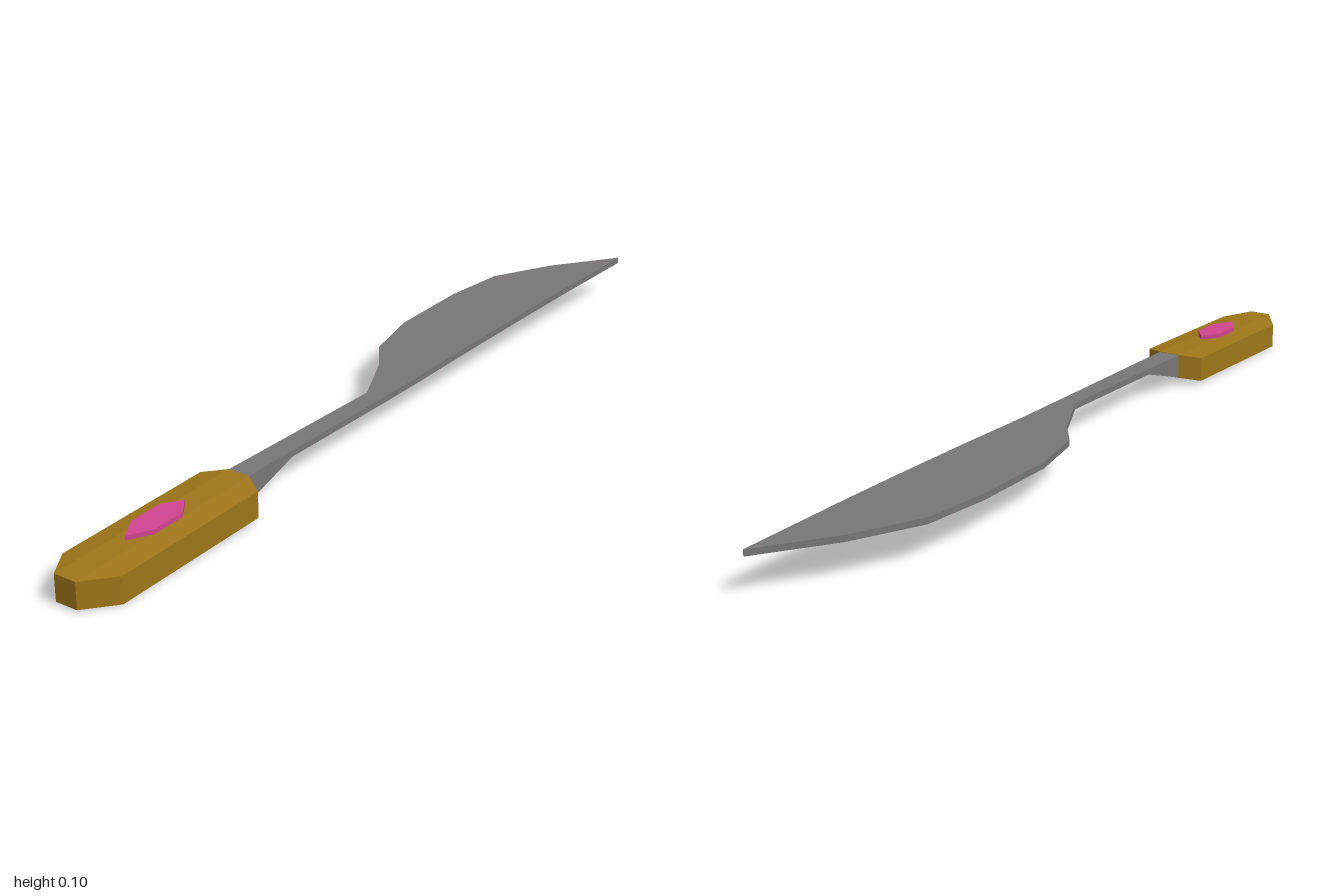
import * as THREE from 'three';

const gold = new THREE.MeshStandardMaterial({ name: 'goldHandle', color: 0x9e761a });
const steel = new THREE.MeshStandardMaterial({ name: 'greySteel', color: 0x787676 });
const pink = new THREE.MeshStandardMaterial({ name: 'pinkGem', color: 0xcf4490 });
for (const m of [gold, steel, pink]) m.flatShading = true;

// Joins rings of [x, y] points, listed from back to front, into a closed faceted solid.
function loft(sections) {
  const rings = sections.map(({ z, ring }) => ring.map(([x, y]) => new THREE.Vector3(x, y, z)));
  const n = rings[0].length;
  const pos = [];
  const tri = (a, b, c) => {
    if (new THREE.Triangle(a, b, c).getArea() > 1e-8) pos.push(...a, ...b, ...c);
  };
  for (let i = 0; i < rings.length - 1; i++) {
    for (let j = 0; j < n; j++) {
      const k = (j + 1) % n;
      tri(rings[i][j], rings[i][k], rings[i + 1][k]);
      tri(rings[i][j], rings[i + 1][k], rings[i + 1][j]);
    }
  }
  const last = rings[rings.length - 1];
  for (let j = 1; j < n - 1; j++) {
    tri(rings[0][0], rings[0][j + 1], rings[0][j]);
    tri(last[0], last[j], last[j + 1]);
  }
  const geo = new THREE.BufferGeometry();
  geo.setAttribute('position', new THREE.Float32BufferAttribute(pos, 3));
  geo.computeVertexNormals();
  return geo;
}

// Ring with a lower and an upper row of points.
const slab = (top, thick) => [...top.map(([x, y]) => [x, y - thick]), ...top.slice().reverse()];

function addPart(group, name, geometry, material) {
  const mesh = new THREE.Mesh(geometry, material);
  mesh.name = name;
  group.add(mesh);
}

export function createModel() {
  const group = new THREE.Group();
  group.name = 'knife';

  // Handle: chamfered block, slightly crowned and rising towards the blade
  const handleTop = (z) => 0.066 + (1 - z) * 0.028;
  const handle = [[0.51, 0], [0.54, 1], [0.93, 1], [1, 0]].map(([z, wide]) => {
    const y = handleTop(z);
    const top = wide
      ? [[-0.021, y - 0.007], [0.026, y], [0.078, y], [0.125, y - 0.007]]
      : [[0.026, y], [0.026, y], [0.078, y], [0.078, y]];
    return { z, ring: slab(top, 0.058) };
  });
  addPart(group, 'handle', loft(handle), gold);

  // Gem: long hexagon set in the handle
  const gem = [[0.67, 0], [0.71, 0.029], [0.79, 0.029], [0.84, 0]].map(([z, w]) => {
    const y = handleTop(z) + 0.01;
    return { z, ring: slab([[0.051 - w, y], [0.051 + w, y]], 0.013) };
  });
  addPart(group, 'gem', loft(gem), pink);

  // Blade: z, cutting edge x, spine x, top y
  const blade = [
    [-1, 0.074, 0.075, 0.099],
    [-0.85, -0.036, 0.0755, 0.0985],
    [-0.7, -0.112, 0.076, 0.098],
    [-0.54, -0.128, 0.0765, 0.096],
    [-0.32, -0.124, 0.077, 0.092],
    [-0.17, -0.09, 0.077, 0.088],
    [-0.09, -0.033, 0.0775, 0.086],
    [0.05, 0.034, 0.078, 0.084],
  ].map(([z, l, r, y]) => ({ z, ring: slab([[l, y], [r, y]], 0.014) }));
  addPart(group, 'blade', loft(blade), steel);

  // Shank: thin bar that deepens where it meets the handle
  const shank = [
    [0.05, 0.034, 0.078, 0.084, 0.014],
    [0.37, 0.029, 0.078, 0.081, 0.014],
    [0.515, 0.026, 0.078, 0.079, 0.058],
  ].map(([z, l, r, y, t]) => ({ z, ring: slab([[l, y], [r, y]], t) }));
  addPart(group, 'shank', loft(shank), steel);

  return group;
}
